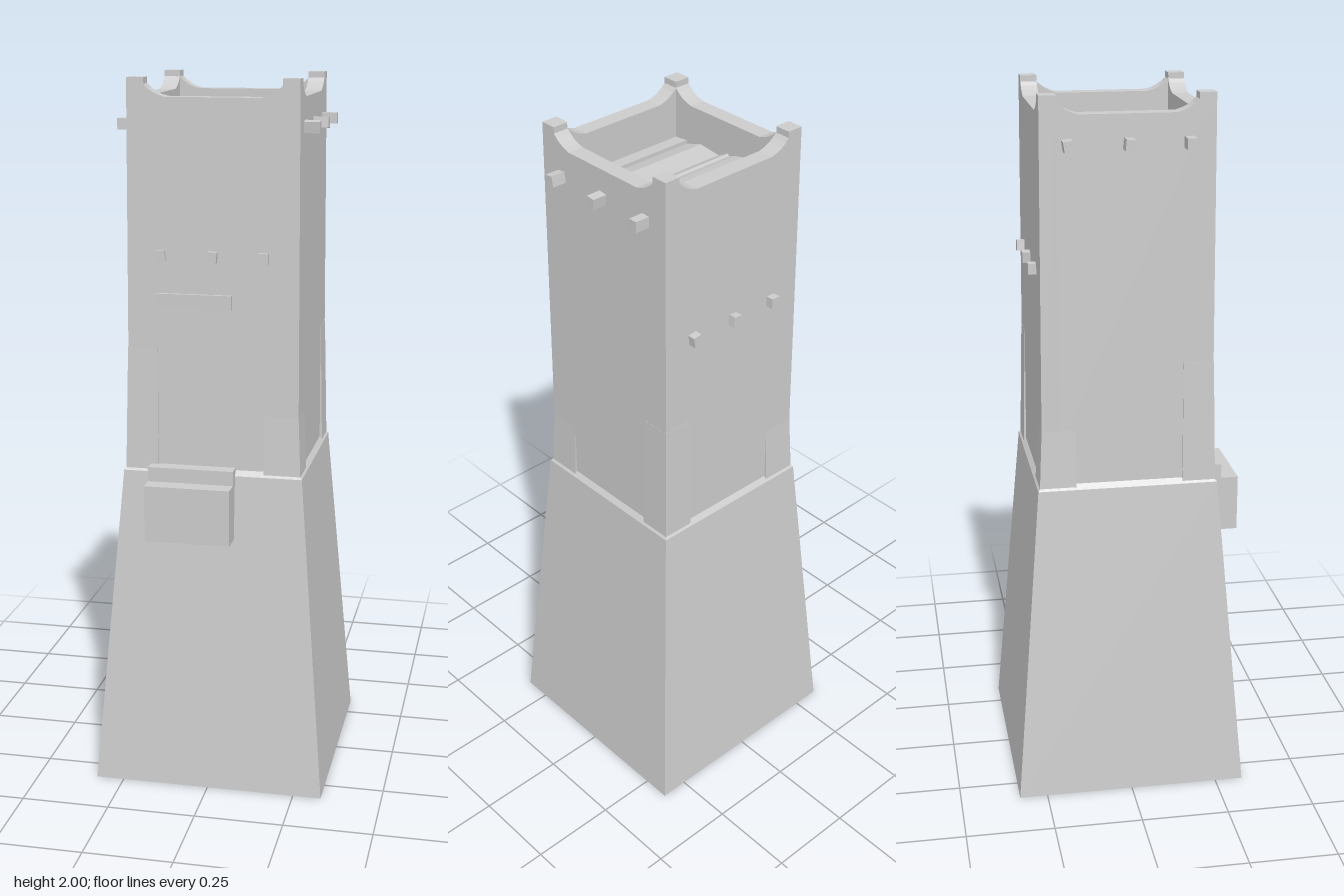
import * as THREE from 'three';

export function createModel() {
  const stone = new THREE.MeshStandardMaterial({ color: 0xcccccc, flatShading: true, side: THREE.DoubleSide });
  stone.name = 'pale stone';
  const tower = new THREE.Group();
  tower.name = 'tower';

  const add = (parent, name, geometry) => {
    const mesh = new THREE.Mesh(geometry, stone);
    mesh.name = name;
    parent.add(mesh);
    return mesh;
  };
  const box = (parent, name, x0, x1, y0, y1, z0, z1) => {
    const mesh = add(parent, name, new THREE.BoxGeometry(x1 - x0, y1 - y0, z1 - z0));
    mesh.position.set((x0 + x1) / 2, (y0 + y1) / 2, (z0 + z1) / 2);
    return mesh;
  };
  // Open square tube that narrows from one half width to another
  const frustum = (name, y0, y1, half0, half1) => {
    const g = new THREE.CylinderGeometry(half1 * Math.SQRT2, half0 * Math.SQRT2, y1 - y0, 4, 1, true);
    g.rotateY(Math.PI / 4);
    g.translate(0, (y0 + y1) / 2, 0);
    return add(tower, name, g);
  };

  // Sloping hollow base and the small ledge above it
  frustum('base', 0, 0.92, 0.33, 0.253);
  frustum('baseLedge', 0.92, 0.938, 0.253, 0.238);

  // Wall outline with a dipped parapet between raised corners
  const outline = new THREE.Shape();
  outline.moveTo(-0.234, 0.925);
  outline.lineTo(0.234, 0.925);
  outline.lineTo(0.234, 2);
  outline.lineTo(0.19, 2);
  outline.lineTo(0.19, 1.985);
  outline.quadraticCurveTo(0.168, 1.958, 0.13, 1.95);
  outline.lineTo(-0.13, 1.95);
  outline.quadraticCurveTo(-0.168, 1.958, -0.19, 1.985);
  outline.lineTo(-0.19, 2);
  outline.lineTo(-0.234, 2);

  const wallGeometry = new THREE.ExtrudeGeometry(outline, { depth: 0.046, bevelEnabled: false, curveSegments: 4 });
  wallGeometry.translate(0, 0, 0.188);
  // Lean the walls slightly inward
  const p = wallGeometry.attributes.position;
  for (let i = 0; i < p.count; i++) {
    const s = 1 + 0.03 * (2 - p.getY(i)) / 1.08;
    p.setXYZ(i, p.getX(i) * s, p.getY(i), p.getZ(i) * s);
  }
  wallGeometry.computeVertexNormals();

  // Corner buttress that thins upward until it sinks into the wall
  const buttress = (inner, top) => {
    const g = new THREE.BoxGeometry(1, 1, 1);
    const v = g.attributes.position;
    for (let i = 0; i < v.count; i++) {
      const up = v.getY(i) > 0;
      const outer = up ? 0.2395 : 0.248;
      v.setXYZ(i, v.getX(i) > 0 ? outer : inner, up ? top : 0.92, v.getZ(i) > 0 ? outer : 0.2);
    }
    g.computeVertexNormals();
    return g;
  };

  for (let i = 0; i < 4; i++) {
    const side = new THREE.Group();
    side.name = ['frontSide', 'leftSide', 'backSide', 'rightSide'][i];
    side.rotation.y = i * Math.PI / 2;
    tower.add(side);
    add(side, 'wall', wallGeometry);

    const longBack = i === 3 ? 1 : i === 1 ? 1 : -1;
    for (const s of [-1, 1]) {
      const long = s === longBack;
      const g = buttress(long ? 0.155 : 0.145, long ? 1.27 : 1.1);
      if (s < 0) {
        // Mirrored copy with its corner order restored
        g.scale(-1, 1, 1);
        const idx = g.index.array;
        for (let k = 0; k < idx.length; k += 3) [idx[k], idx[k + 1]] = [idx[k + 1], idx[k]];
        g.computeVertexNormals();
      }
      add(side, 'buttress', g);
    }

    // Three beam ends, higher on the left and right sides
    const high = i % 2 === 1;
    const y = high ? 1.873 : 1.528;
    const reach = high ? 0.277 : i === 0 ? 0.253 : 0.259;
    [-0.143, 0, 0.141].forEach((x, k) => {
      const px = high ? (k - 1) * 0.162 : x;
      const peg = box(side, 'beamEnd', px - 0.013, px + 0.013, y - 0.015, y + 0.015, 0.19, reach);
      peg.rotation.z = [0.15, -0.1, 0][k];
    });
  }

  // Front ledge and stepped box
  box(tower, 'frontPlank', -0.16, 0.053, 1.385, 1.425, 0.2, 0.249);
  box(tower, 'frontBoxBody', -0.176, 0.065, 0.74, 0.9, 0.23, 0.332);
  box(tower, 'frontBoxTop', -0.176, 0.065, 0.9, 0.941, 0.22, 0.283);

  // Sagging roof between the parapets, swept across the width
  const roof = new THREE.Shape();
  const profile = [[-0.19, 1.88], [-0.15, 1.88], [-0.15, 1.87], [-0.11, 1.874], [-0.07, 1.871],
    [-0.04, 1.864], [-0.02, 1.856], [-0.015, 1.862], [0.02, 1.845], [0.09, 1.852],
    [0.145, 1.835], [0.145, 1.845], [0.19, 1.84], [0.19, 1.81], [-0.19, 1.81]];
  profile.forEach(([z, y], i) => (i ? roof.lineTo(-z, y) : roof.moveTo(-z, y)));
  const roofGeometry = new THREE.ExtrudeGeometry(roof, { depth: 0.38, bevelEnabled: false });
  roofGeometry.translate(0, 0, -0.19);
  roofGeometry.rotateY(Math.PI / 2);
  add(tower, 'roof', roofGeometry);

  return tower;
}
